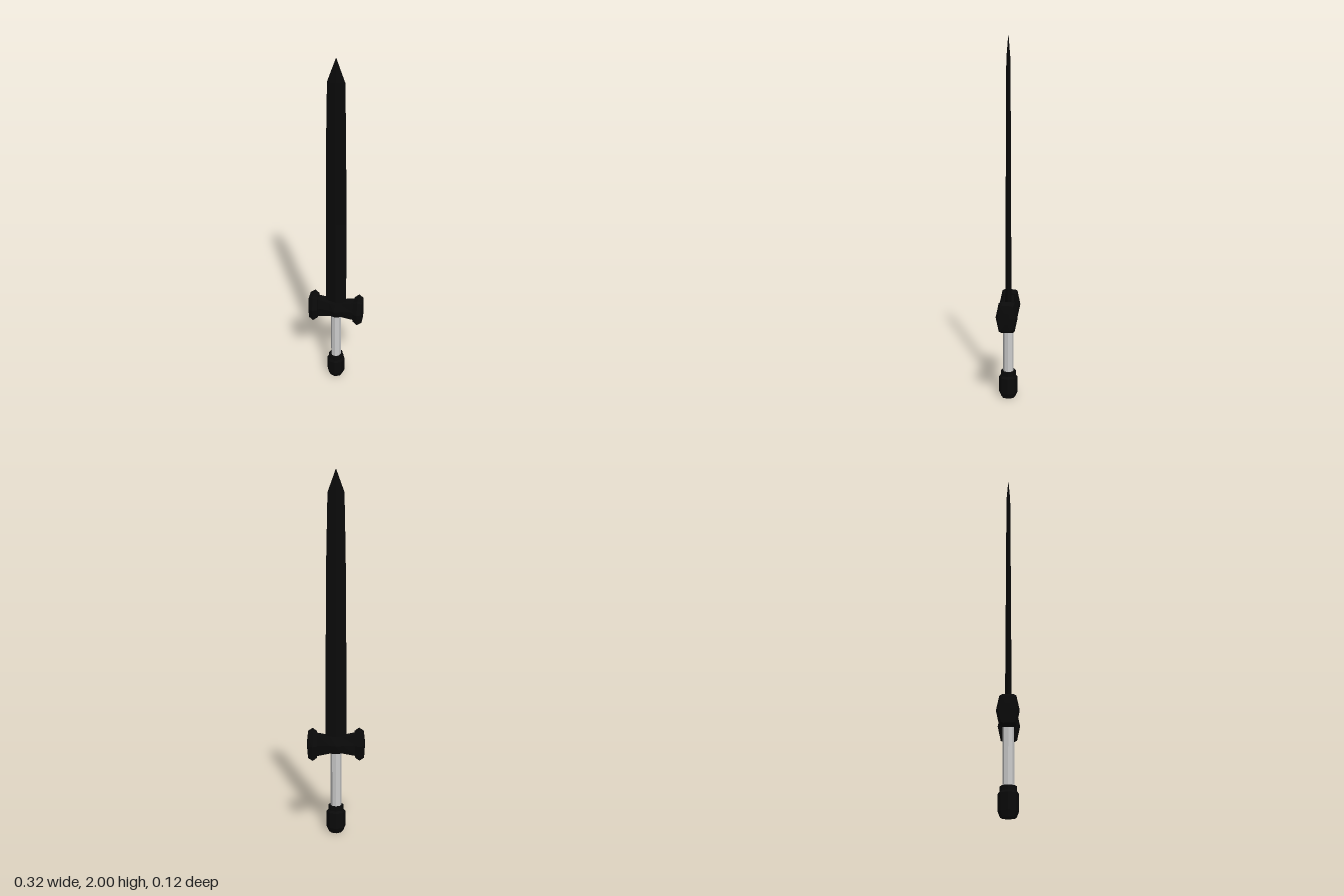
import * as THREE from 'three';

const black = new THREE.MeshStandardMaterial({ color: 0x0a0a0a, flatShading: true });
const grey = new THREE.MeshStandardMaterial({ color: 0xcccccc, flatShading: true });

// Closed loft along y: outline is a unit loop [x, z], sections are [y, xScale, zScale]
function loft(outline, sections) {
  const n = outline.length, pos = [], idx = [];
  for (const [y, sx, sz] of sections)
    for (const [x, z] of outline) pos.push(x * sx, y, z * sz);
  const last = sections.length - 1;
  const low = pos.length / 3, high = low + 1;
  pos.push(0, sections[0][0], 0, 0, sections[last][0], 0);
  for (let i = 0; i < n; i++) {
    const k = (i + 1) % n;
    for (let j = 0; j < last; j++) {
      const a = j * n + i, b = a + n, c = j * n + k, d = c + n;
      idx.push(a, b, c, c, b, d);
    }
    idx.push(low, i, k, high, last * n + k, last * n + i);
  }
  const g = new THREE.BufferGeometry();
  g.setAttribute('position', new THREE.Float32BufferAttribute(pos, 3));
  g.setIndex(idx);
  const flat = g.toNonIndexed();
  flat.computeVertexNormals();
  return flat;
}

export function createModel() {
  const model = new THREE.Group();
  const add = (name, geometry, material, parent = model) => {
    const mesh = new THREE.Mesh(geometry, material);
    mesh.name = name;
    parent.add(mesh);
    return mesh;
  };

  // Tapering diamond-section blade
  const diamond = [[1, 0], [0, 1], [-1, 0], [0, -1]];
  add('blade', loft(diamond, [
    [0.5, 0.06, 0.018], [1.08, 0.056, 0.015], [1.55, 0.052, 0.013],
    [1.88, 0.045, 0.011], [2.0, 0.001, 0.001],
  ]), black);

  // Crossguard, lofted sideways: section x becomes height
  const guard = new THREE.Group();
  guard.name = 'crossguard';
  guard.position.y = 0.507;
  guard.rotation.z = -Math.PI / 2;
  model.add(guard);

  const hexagon = [[1, 0.72], [0, 1], [-1, 0.72], [-1, -0.72], [0, -1], [1, -0.72]];
  add('guardBar', loft(hexagon, [
    [-0.11, 0.062, 0.032], [-0.035, 0.046, 0.039], [0, 0.046, 0.052],
    [0.035, 0.046, 0.039], [0.11, 0.062, 0.032],
  ]), black, guard);

  // Flared knobs at both ends of the guard
  const knobOutline = [[0.92, 0.72], [0, 1], [-0.92, 0.72], [-1, 0.5], [-1, -0.5], [-0.92, -0.72], [0, -1], [0.92, -0.72], [1, -0.5], [1, 0.5]];
  for (const side of [-1, 1]) {
    const knob = add(side > 0 ? 'guardKnobLeft' : 'guardKnobRight', loft(knobOutline, [
      [0.105, 0.07, 0.048], [0.13, 0.087, 0.06], [0.155, 0.072, 0.048], [0.16, 0.03, 0.015],
    ]), black, guard);
    if (side < 0) knob.rotation.x = Math.PI;
  }

  // Grip
  const grip = add('grip', new THREE.CylinderGeometry(0.03, 0.03, 0.36, 8), grey);
  grip.position.y = 0.31;

  // Pommel with chamfered foot and narrower collar
  const profile = [[0, 0], [0.04, 0], [0.053, 0.03], [0.053, 0.118], [0.043, 0.13], [0.043, 0.155], [0, 0.155]];
  add('pommel', new THREE.LatheGeometry(profile.map(([r, y]) => new THREE.Vector2(r, y)), 8), black);

  return model;
}
